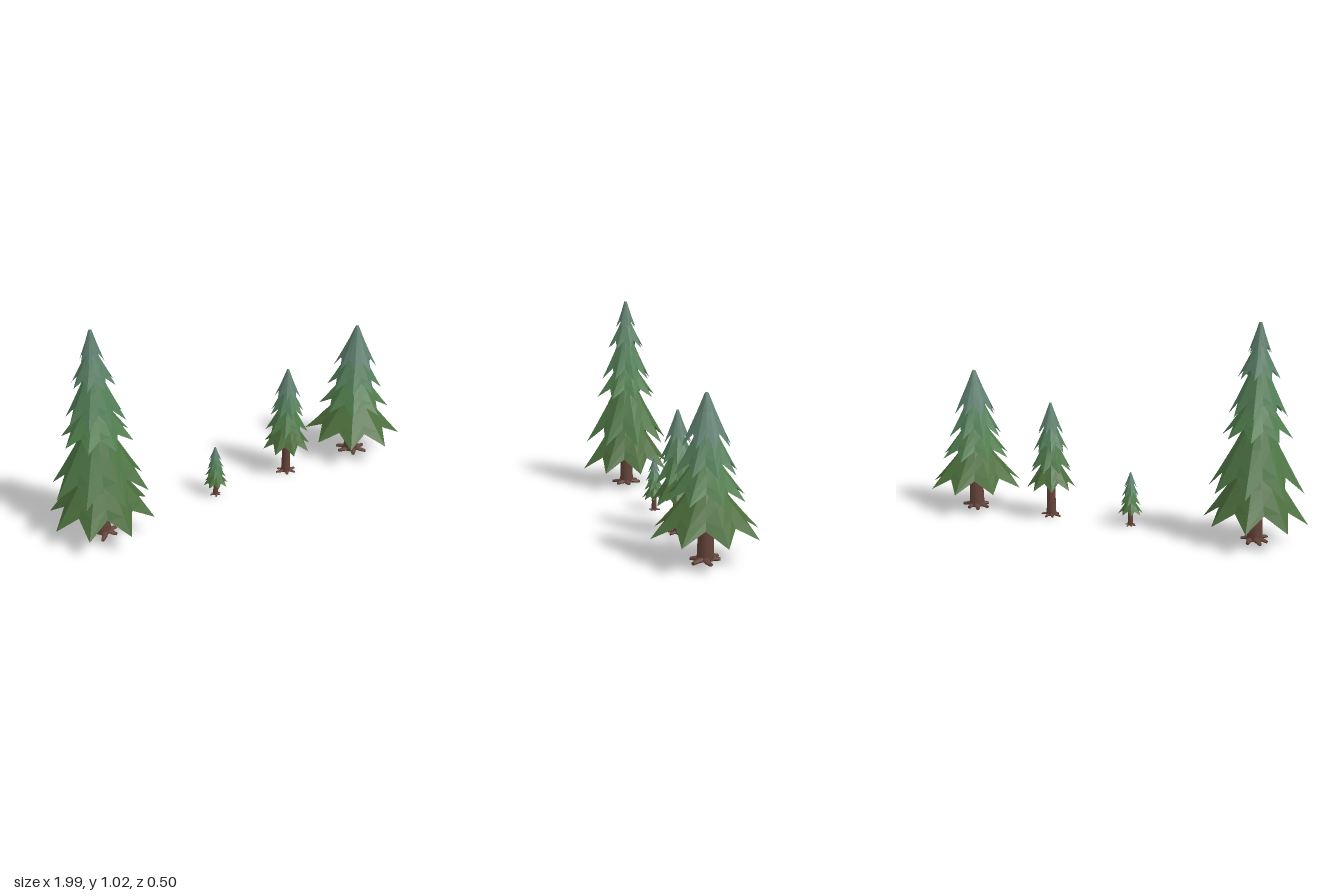
import * as THREE from 'three';

const TOP = new THREE.Color(0x5f8070), MID = new THREE.Color(0x4f7f4f), LOW = new THREE.Color(0x4c6e3c);

// Rings of equal point count, joined into a surface that faces outward
function loft(rings) {
  const n = rings[0].length, pos = [], index = [];
  rings.forEach(ring => ring.forEach(p => pos.push(...p)));
  for (let k = 0; k < rings.length - 1; k++) {
    for (let i = 0; i < n; i++) {
      const a = k * n + i, b = k * n + (i + 1) % n, c = a + n, d = b + n;
      index.push(a, b, c, b, d, c);
    }
  }
  const g = new THREE.BufferGeometry();
  g.setAttribute('position', new THREE.Float32BufferAttribute(pos, 3));
  g.setIndex(index);
  g.computeVertexNormals();
  return g;
}

// Pleated skirt of needles: round at the top, a drooping star at the rim
function skirtGeometry(topY, topR, rimY, rimR, points, phase, core) {
  const h = topY - rimY, n = points * 2, lift = 0.26 * h;
  const ring = (r, y, star, rise) => Array.from({ length: n }, (_, i) => {
    const a = phase - i / n * Math.PI * 2, valley = i % 2;
    const wobble = valley ? 0 : 0.02 * Math.sin(i * 2.3 + phase);
    const rr = r * (1 - valley * star + wobble * star * 3);
    return [Math.cos(a) * rr, y + valley * rise, Math.sin(a) * rr];
  });
  const rings = [ring(0.001, topY, 0, 0)];
  for (const t of [0, 0.35, 0.7, 1]) {
    const r = topR + (rimR - topR) * Math.pow(t, 1.08);
    rings.push(ring(r, topY - 0.01 * h - 0.99 * h * t, 0.3 * t, lift * t * t));
  }
  // hollow underside
  rings.push(ring(rimR * 0.6, rimY + h * 0.36, 0.1, 0.04 * h));
  rings.push(ring(core * 0.8, rimY + h * 0.5, 0, 0));
  return loft(rings);
}

function makeTree({ name, x, height, tiers, points, stagger, trunkR, rootR }) {
  const tree = new THREE.Group();
  tree.name = name;
  tree.position.x = x;

  // Foliage tiers from the top down; each is [rim height, rim radius]
  let topY = height, topR = trunkR * 0.2;
  tiers.forEach(([rimY, rimR], i) => {
    const t = i / (tiers.length - 1);
    const color = t < 0.5 ? TOP.clone().lerp(MID, t * 2) : MID.clone().lerp(LOW, t * 2 - 1);
    const phase = -0.08 + (stagger ? (i % 2) * Math.PI / points : 0.03 * Math.sin(i * 2));
    const skirt = new THREE.Mesh(
      skirtGeometry(topY, topR, rimY, rimR, points, phase, trunkR),
      new THREE.MeshStandardMaterial({ color, flatShading: true, side: THREE.DoubleSide }));
    skirt.name = 'foliageTier' + (i + 1);
    tree.add(skirt);
    topY = rimY + 0.36 * (topY - rimY);
    topR = rimR * 0.32;
  });

  // Trunk reaching up into the lower foliage
  const bark = new THREE.MeshStandardMaterial({ color: 0x64443a });
  const trunkH = tiers[tiers.length - 2][0] + 0.02 * height;
  const trunk = new THREE.Mesh(new THREE.CylinderGeometry(trunkR * 0.75, trunkR * 1.05, trunkH, 10), bark);
  trunk.name = 'trunk';
  trunk.position.y = trunkH / 2 + trunkR * 0.15;
  tree.add(trunk);

  // Stubby roots spreading over the ground
  const roots = new THREE.Group();
  roots.name = 'roots';
  const count = 6, thick = trunkR * 0.42;
  for (let i = 0; i < count; i++) {
    const len = rootR * (0.92 + 0.12 * Math.sin(i * 2.4 + x * 3));
    const geo = new THREE.CylinderGeometry(thick * 0.6, thick * 1.25, len, 7, 3);
    geo.rotateZ(-Math.PI / 2);
    geo.translate(len / 2, 0, 0);
    const p = geo.attributes.position;
    for (let k = 0; k < p.count; k++) {
      const u = p.getX(k) / len;
      p.setY(k, p.getY(k) * 0.75 + thick * (1.15 - 0.7 * u));
      p.setZ(k, p.getZ(k) + 0.12 * len * Math.sin(u * 3 + i));
    }
    geo.computeVertexNormals();
    const root = new THREE.Mesh(geo, bark);
    root.name = 'root' + (i + 1);
    root.rotation.y = i / count * Math.PI * 2 + 0.25 * Math.sin(i * 1.7);
    roots.add(root);
  }
  tree.add(roots);
  return tree;
}

export function createModel() {
  const model = new THREE.Group();
  model.name = 'pineTrees';
  const trees = [
    { name: 'tallTree', x: -0.753, height: 1.025, points: 8, trunkR: 0.036, rootR: 0.08,
      tiers: [[0.885, 0.055], [0.77, 0.1], [0.6, 0.137], [0.5, 0.165], [0.25, 0.226], [0.1, 0.247]] },
    { name: 'saplingTree', x: -0.125, height: 0.27, points: 8, stagger: true, trunkR: 0.013, rootR: 0.029,
      tiers: [[0.195, 0.032], [0.15, 0.042], [0.107, 0.052], [0.062, 0.062]] },
    { name: 'slimTree', x: 0.31, height: 0.585, points: 8, stagger: true, trunkR: 0.024, rootR: 0.053,
      tiers: [[0.43, 0.066], [0.34, 0.088], [0.24, 0.108], [0.15, 0.125]] },
    { name: 'wideTree', x: 0.748, height: 0.725, points: 8, trunkR: 0.038, rootR: 0.08,
      tiers: [[0.5, 0.11], [0.385, 0.14], [0.275, 0.18], [0.12, 0.247]] },
  ];
  trees.forEach(t => model.add(makeTree(t)));
  return model;
}
